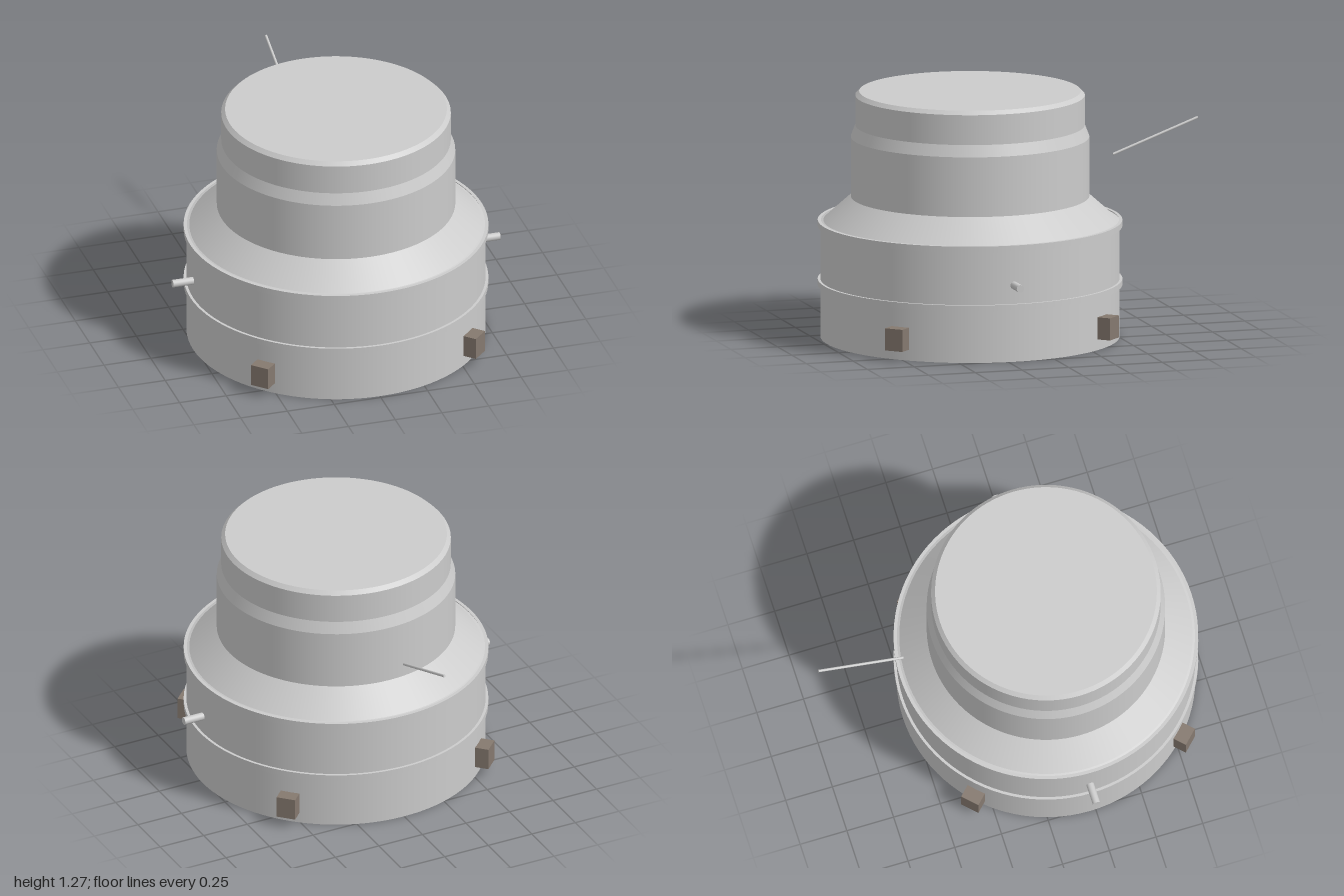
import * as THREE from 'three';
import { mergeGeometries } from 'three/addons/utils/BufferGeometryUtils.js';

const SEG = 96;
const mat = (color) => new THREE.MeshStandardMaterial({ color, side: THREE.DoubleSide });
const grey = mat(0xcccccc);
const brown = mat(0x85796f);
const dark = mat(0x2a2a2a);

// Lathe with a crisp edge at every profile point (points are [radius, y])
function creasedLathe(points) {
  const v = points.map(([r, y]) => new THREE.Vector2(r, y));
  const bands = [];
  for (let i = 0; i < v.length - 1; i++) bands.push(new THREE.LatheGeometry([v[i], v[i + 1]], SEG));
  return mergeGeometries(bands);
}

export function createModel() {
  const model = new THREE.Group();
  const craft = new THREE.Group();
  craft.name = 'descentStage';
  craft.position.z = 0.22;
  model.add(craft);

  const add = (name, geometry, material, parent = craft) => {
    const mesh = new THREE.Mesh(geometry, material);
    mesh.name = name;
    parent.add(mesh);
    return mesh;
  };

  // Hull: inner skirt wall, rim, drum, shoulder, tower and closed top
  add('hull', creasedLathe([
    [0.755, 0.18], [0.755, 0], [0.765, 0], [0.765, 0.6], [0.75, 0.605],
    [0.61, 0.73], [0.61, 1.04], [0.587, 1.1], [0.587, 1.255], [0.567, 1.275], [0, 1.275],
  ]), grey);

  // Raised bands around the drum
  for (const [name, y] of [['lowerBand', 0.27], ['upperBand', 0.576]]) {
    add(name, creasedLathe([
      [0.762, y], [0.779, y], [0.779, y + 0.031], [0.762, y + 0.031],
    ]), grey);
  }

  // Shallow domed bulkhead inside the skirt
  add('bulkhead', new THREE.LatheGeometry(
    [[0, 0.28], [0.25, 0.268], [0.5, 0.235], [0.757, 0.18]].map(([r, y]) => new THREE.Vector2(r, y)).reverse(), SEG), dark);

  // Engine bell and the flared mount above its throat
  const bell = new THREE.SplineCurve(
    [[0.115, 0.005], [0.105, 0.07], [0.08, 0.14], [0.038, 0.23]].map(([r, y]) => new THREE.Vector2(r, y)));
  add('engineBell', new THREE.LatheGeometry(bell.getPoints(16), 48), brown);
  add('engineMount', new THREE.CylinderGeometry(0.072, 0.038, 0.048, 48), grey).position.y = 0.252;

  // Side pins
  for (const s of [-1, 1]) {
    const pin = add(s > 0 ? 'leftPin' : 'rightPin', new THREE.CylinderGeometry(0.02, 0.02, 0.13, 20), grey);
    pin.rotation.z = Math.PI / 2;
    pin.position.set(s * 0.81, 0.398, 0);
  }

  // Four blocks spaced diagonally around the skirt
  for (let i = 0; i < 4; i++) {
    const mount = new THREE.Group();
    mount.name = 'skirtBlock' + (i + 1);
    mount.rotation.y = Math.PI / 4 + i * Math.PI / 2;
    craft.add(mount);
    add('block', new THREE.BoxGeometry(0.1, 0.115, 0.075), brown, mount).position.set(0, 0.114, 0.7975);
  }

  // Slanted rod behind the tower
  const a = new THREE.Vector3(0, 0.905, -0.545);
  const b = new THREE.Vector3(0, 1.073, -0.998);
  const rod = add('rearRod', new THREE.CylinderGeometry(0.007, 0.007, a.distanceTo(b), 12), grey, model);
  rod.position.copy(a).add(b).multiplyScalar(0.5);
  rod.quaternion.setFromUnitVectors(new THREE.Vector3(0, 1, 0), b.clone().sub(a).normalize());

  return model;
}
